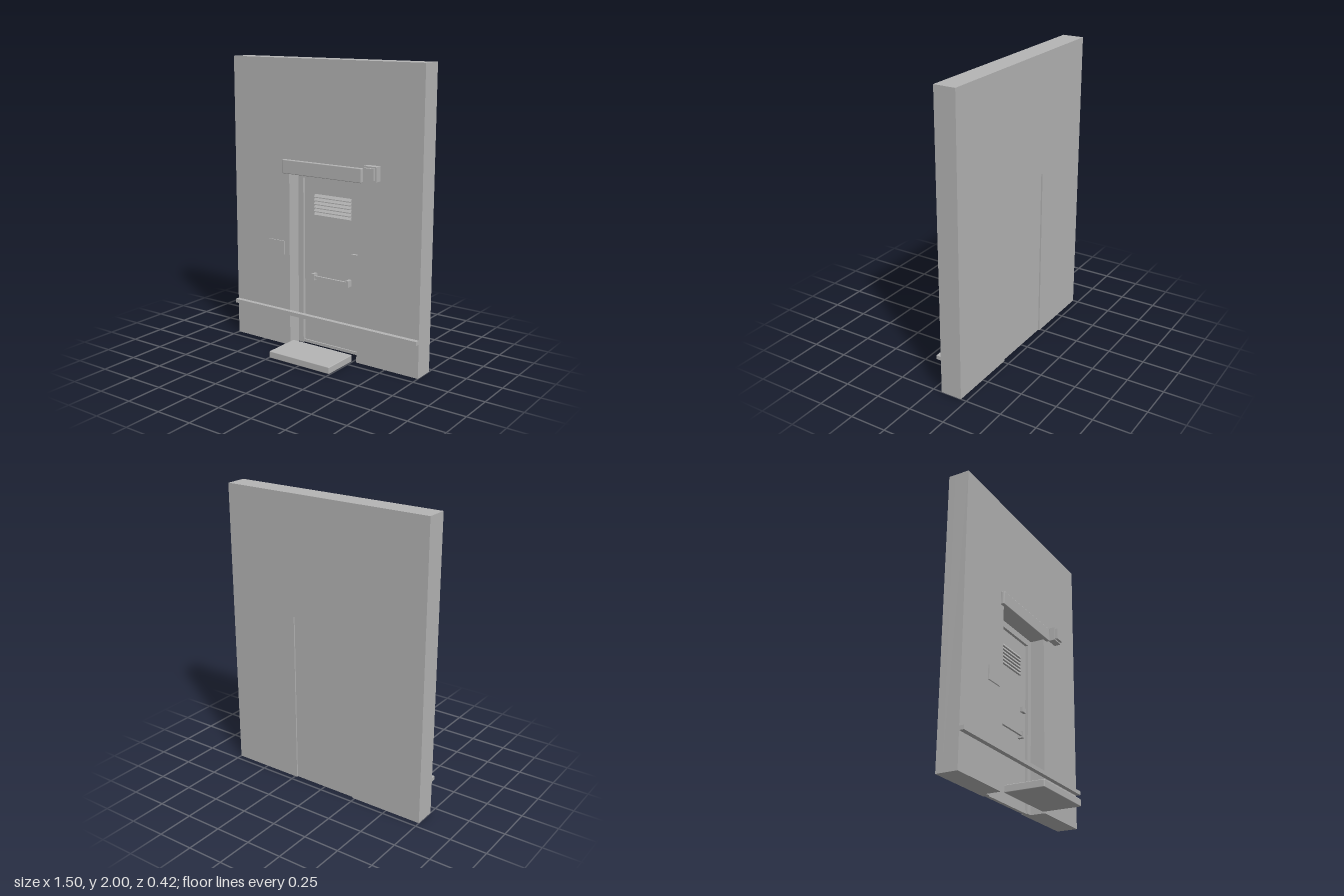
import * as THREE from 'three';
import { RoundedBoxGeometry } from 'three/addons/geometries/RoundedBoxGeometry.js';

export function createModel() {
  const root = new THREE.Group();
  root.name = 'doorwayWall';
  const grey = new THREE.MeshStandardMaterial({ color: 0xb4b4b4 });
  grey.name = 'plainGrey';

  const add = (name, geometry, parent = root) => {
    const mesh = new THREE.Mesh(geometry, grey);
    mesh.name = name;
    parent.add(mesh);
    return mesh;
  };
  // Box given by its limits on each axis; a bevel softens the edges
  const box = (name, [x0, x1], [y0, y1], [z0, z1], parent = root, bevel = 0) => {
    const size = [x1 - x0, y1 - y0, z1 - z0];
    const mesh = add(name, bevel ? new RoundedBoxGeometry(...size, 2, bevel)
      : new THREE.BoxGeometry(...size), parent);
    mesh.position.set((x0 + x1) / 2, (y0 + y1) / 2, (z0 + z1) / 2);
    return mesh;
  };

  // Wall in two layers: wide opening in front, narrower rebate behind
  const wallLayer = (name, halfWidth, height, z0, z1) => {
    const shape = new THREE.Shape([
      [-0.75, 0], [-halfWidth, 0], [-halfWidth, height], [halfWidth, height],
      [halfWidth, 0], [0.75, 0], [0.75, 2], [-0.75, 2],
    ].map(([x, y]) => new THREE.Vector2(x, y)));
    const geometry = new THREE.ExtrudeGeometry(shape, { depth: z1 - z0, bevelEnabled: false });
    add(name, geometry.translate(0, 0, z0));
  };
  wallLayer('wallFront', 0.278, 1.235, -0.165, -0.063);
  wallLayer('wallBack', 0.236, 1.19, -0.21, -0.165);

  // Door leaf and sill, set back in the opening
  const door = new THREE.Group();
  door.name = 'door';
  root.add(door);
  const face = -0.185;
  box('doorLeaf', [-0.236, 0.236], [0.02, 1.19], [-0.2, face], door);
  box('doorSill', [-0.236, 0.236], [0, 0.02], [-0.2, -0.175], door);

  // Louvred vent
  for (let i = 0; i < 6; i++) {
    const y = 0.935 + i * 0.025;
    const profile = new THREE.Shape();
    profile.moveTo(0, y);
    profile.lineTo(0.014, y);
    profile.lineTo(0.014, y + 0.006);
    profile.lineTo(0, y + 0.024);
    const slat = new THREE.ExtrudeGeometry(profile, { depth: 0.3, bevelEnabled: false });
    slat.rotateY(-Math.PI / 2).translate(0.15, 0, face);
    add('ventSlat', slat, door);
  }

  // Pull bar on two brackets, and the latch
  box('handleBar', [-0.135, 0.135], [0.493, 0.512], [face + 0.02, face + 0.035], door);
  for (const s of [-1, 1]) {
    const bracket = box('handleBracket', [-0.011, 0.011], [0.48, 0.525], [face, face + 0.04], door);
    bracket.position.x = s * 0.143;
  }
  box('latch', [0.163, 0.212], [0.677, 0.71], [face, face + 0.02], door);

  // Fittings on the wall face
  box('hood', [-0.32, 0.317], [1.23, 1.325], [-0.063, -0.037], root, 0.005);
  box('lampBase', [0.35, 0.445], [1.253, 1.35], [-0.063, -0.015]);
  box('lampLens', [0.36, 0.435], [1.263, 1.34], [-0.015, 0.003]);
  box('switchPlate', [-0.453, -0.32], [0.655, 0.752], [-0.063, -0.055]);
  box('rail', [-0.75, 0.75], [0.233, 0.26], [-0.063, -0.03]);

  // Doorstep
  box('doorstep', [-0.248, 0.246], [0, 0.048], [-0.06, 0.21], root, 0.005);

  return root;
}
